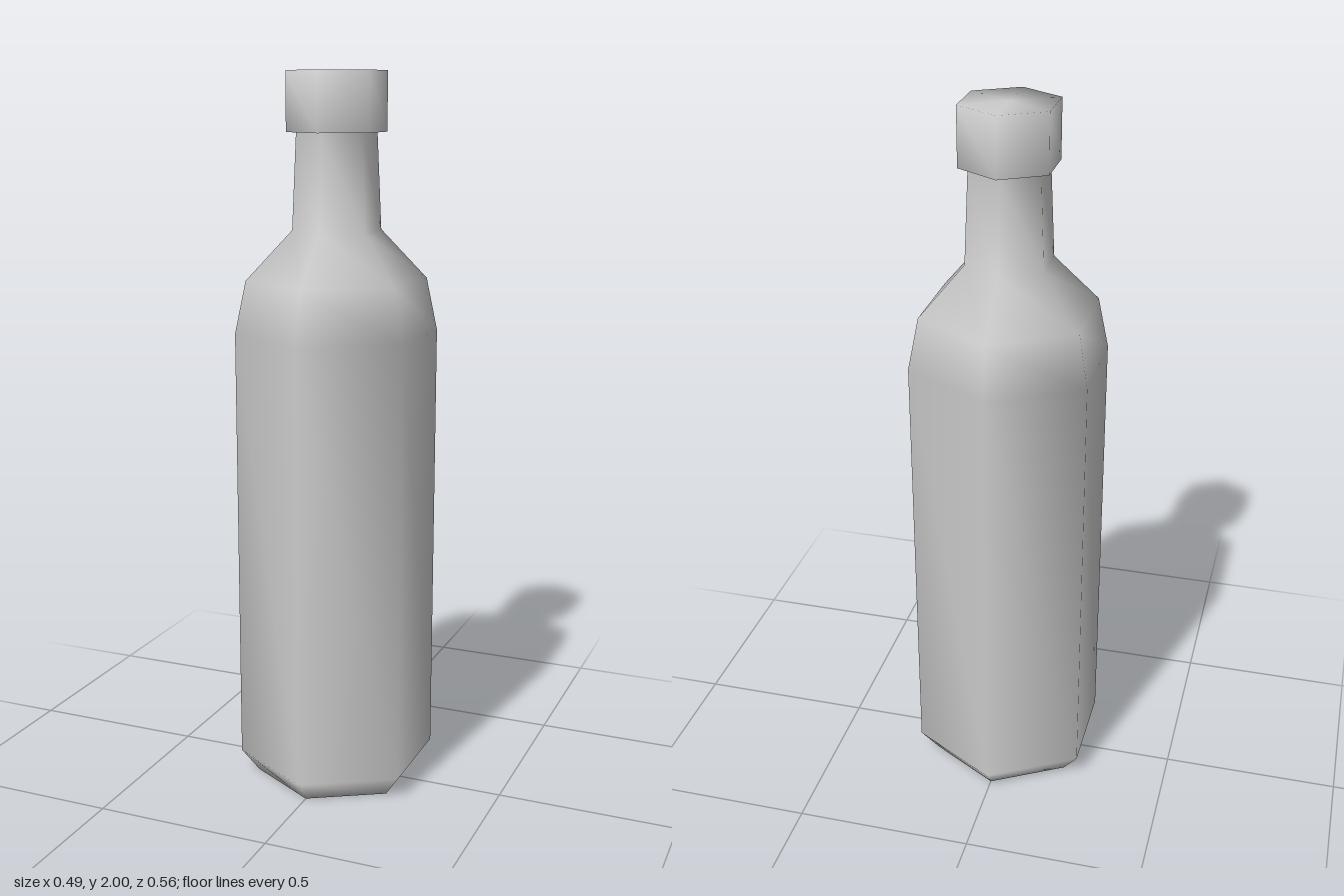
import * as THREE from 'three';
import { mergeVertices } from 'three/addons/utils/BufferGeometryUtils.js';

const material = new THREE.MeshStandardMaterial({ color: 0xcccccc });

// Six-sided turned part with fully smooth normals; profile is [radius, y] from bottom to top
function hexLathe(name, profile) {
  const points = profile.map(([r, y]) => new THREE.Vector2(r, y));
  let geometry = new THREE.LatheGeometry(points, 6);
  geometry.deleteAttribute('uv');
  geometry.deleteAttribute('normal');
  geometry = mergeVertices(geometry, 1e-4);
  geometry.computeVertexNormals();
  const mesh = new THREE.Mesh(geometry, material);
  mesh.name = name;
  return mesh;
}

export function createModel() {
  const bottle = new THREE.Group();
  bottle.name = 'bottle';

  // Base, straight body, two-step shoulder and tapering neck
  bottle.add(hexLathe('bottleBody', [
    [0, 0], [0.23, 0], [0.281, 0.065], [0.281, 1.3],
    [0.25, 1.445], [0.122, 1.58], [0.11, 1.84],
  ]));

  // Wider cap with an underside ring meeting the neck
  bottle.add(hexLathe('cap', [
    [0.11, 1.84], [0.137, 1.84], [0.137, 2], [0, 2],
  ]));

  return bottle;
}
